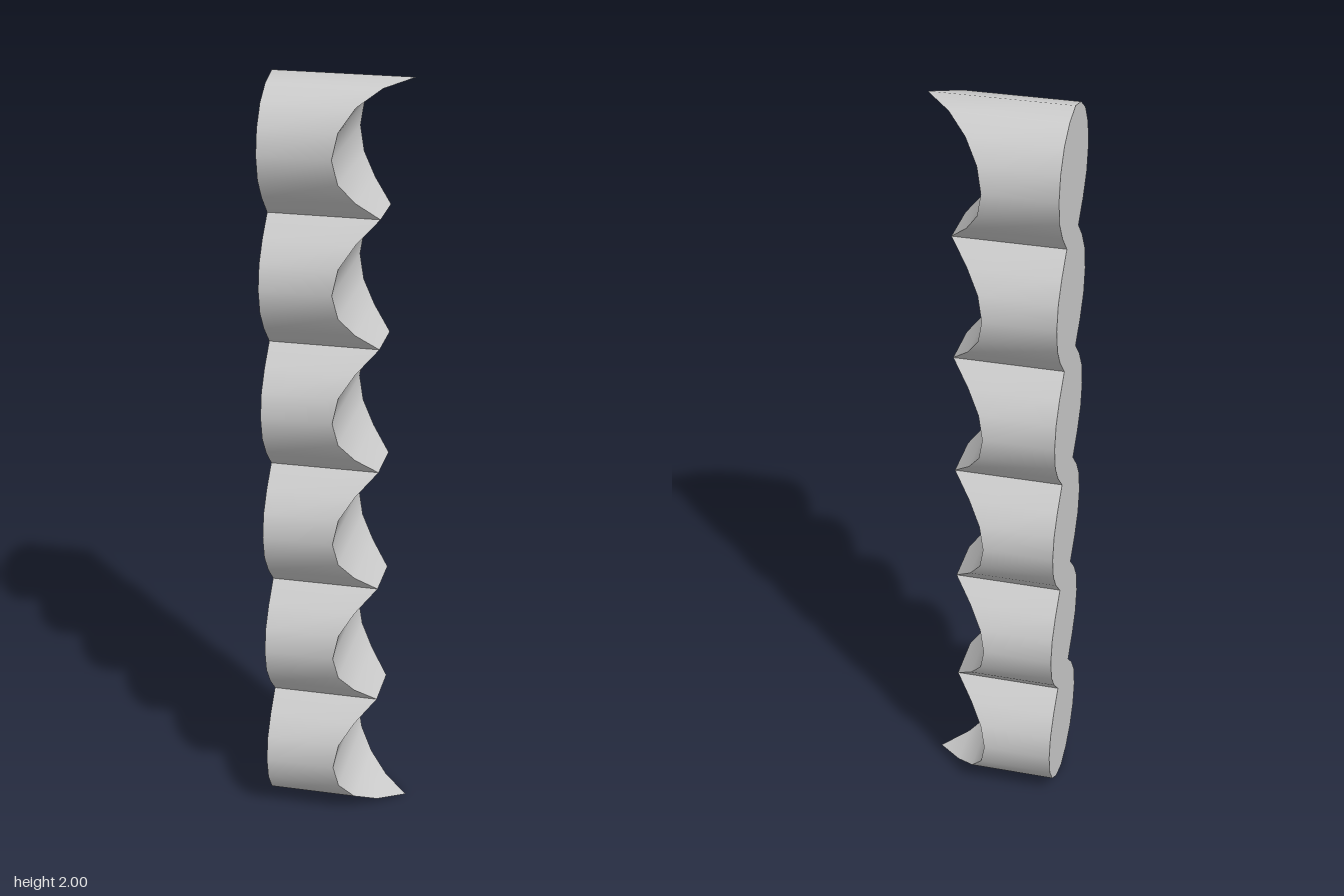
import * as THREE from 'three';
import { toCreasedNormals } from 'three/addons/utils/BufferGeometryUtils.js';

const LOBES = 6, PITCH = 2 / LOBES, R = 0.163, BACK = -0.175, TIP = 0.17, PINCH = 0.065;

// Half outline of a lobe as [height from centre, half width], bottom to top.
// A closed end rounds off to a point; an open end narrows to the pinch line.
function lobeProfile(closedBottom, closedTop) {
  const arc = deg => {
    const a = THREE.MathUtils.degToRad(deg);
    return [R * Math.sin(a), R * Math.cos(a)];
  };
  const end = (closed, s) => closed
    ? [arc(s * 67.5), [s * PITCH / 2, 0]]
    : [[s * PITCH / 2, PINCH]];
  return [
    ...end(closedBottom, -1).reverse(),
    ...[-45, -22.5, 0, 22.5, 45].map(arc),
    ...end(closedTop, 1),
  ];
}

// Loft of four-cornered rings; the front edge is mitred at 45 degrees, which
// leaves a concave trough across the end and a flat face at the back.
function lobeGeometry(profile) {
  const rings = profile.map(([y, h]) => {
    const front = h === 0 ? -BACK : TIP - h;
    return [[BACK, y, h], [front, y, h], [front, y, -h], [BACK, y, -h]];
  });
  const pos = [];
  const tri = (...pts) => {
    const [a, b, c] = pts.map(p => new THREE.Vector3(...p));
    if (new THREE.Triangle(a, b, c).getArea() > 1e-8) pos.push(...pts.flat());
  };
  for (let i = 0; i < rings.length - 1; i++) {
    for (let j = 0; j < 4; j++) {
      const k = (j + 1) % 4;
      tri(rings[i][j], rings[i][k], rings[i + 1][k]);
      tri(rings[i][j], rings[i + 1][k], rings[i + 1][j]);
    }
  }
  const geo = new THREE.BufferGeometry();
  geo.setAttribute('position', new THREE.Float32BufferAttribute(pos, 3));
  return toCreasedNormals(geo, 0.7);
}

export function createModel() {
  const group = new THREE.Group();
  group.name = 'scallopedColumn';
  const material = new THREE.MeshStandardMaterial({ color: 0xcccccc, side: THREE.DoubleSide });

  // Stack of mitred round bars
  for (let i = 0; i < LOBES; i++) {
    const lobe = new THREE.Mesh(lobeGeometry(lobeProfile(i === 0, i === LOBES - 1)), material);
    lobe.name = `lobe${i + 1}`;
    lobe.position.y = PITCH * (i + 0.5);
    group.add(lobe);
  }
  return group;
}
